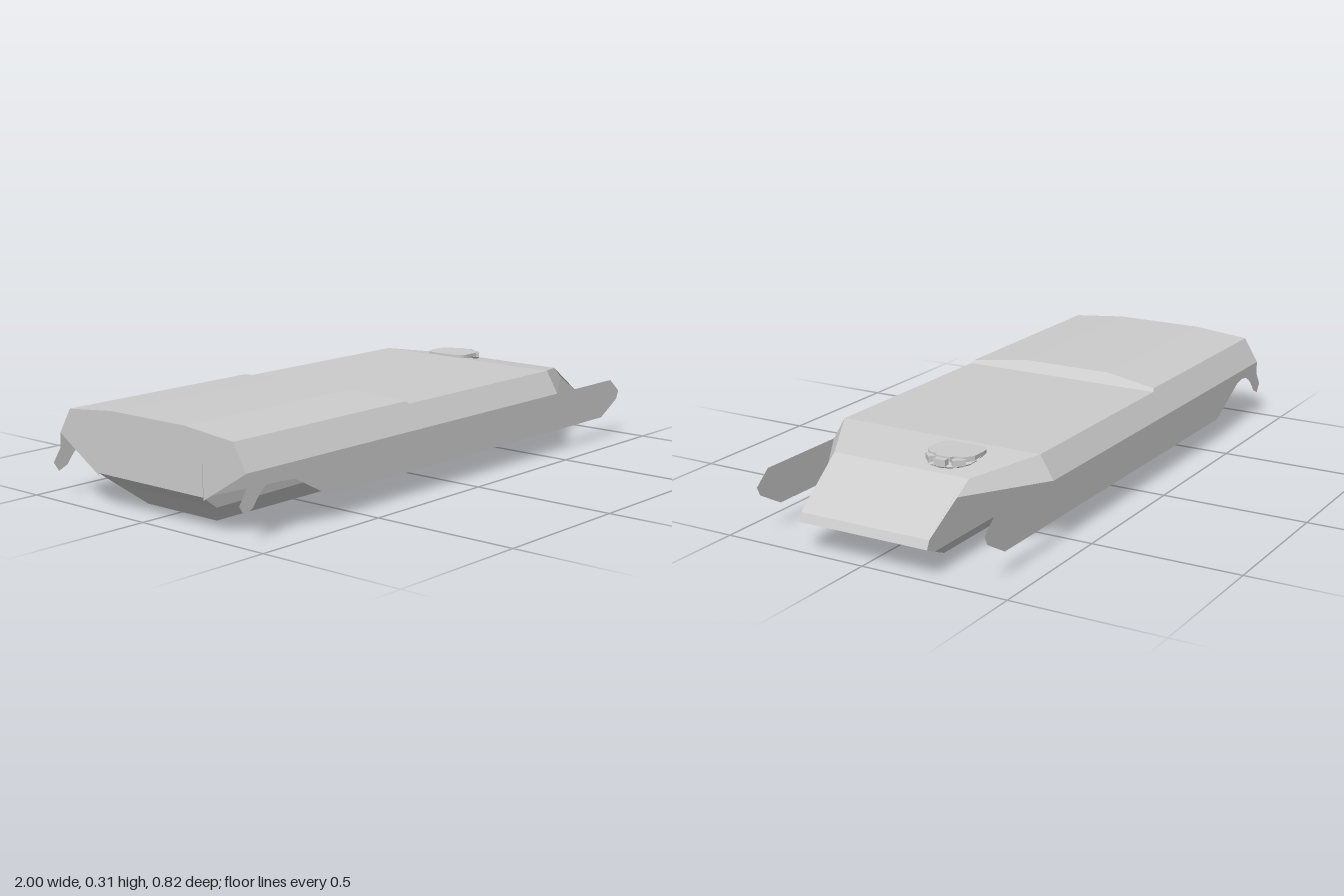
import * as THREE from 'three';

const material = new THREE.MeshStandardMaterial({ color: 0xcccccc, flatShading: true });
const thin = new THREE.MeshStandardMaterial({ color: 0xcccccc, flatShading: true, side: THREE.DoubleSide });

function add(parent, name, geometry, mat = material) {
  const mesh = new THREE.Mesh(geometry, mat);
  mesh.name = name;
  parent.add(mesh);
  return mesh;
}

// Loft through mirrored half sections; each lists [x, y, z] from roof to belly
function loft(sections) {
  const mirror = ([x, y, z]) => [x, y, -z];
  const rings = sections.map((s) => [...s, ...s.map(mirror).reverse()]);
  const out = [];
  const tri = (a, b, c) => {
    const [p, q, r] = [a, b, c].map((v) => new THREE.Vector3(...v));
    if (q.sub(p).cross(r.sub(p)).length() > 1e-7) out.push(...a, ...b, ...c);
  };
  const quad = (a, b, c, d) => { tri(a, b, c); tri(a, c, d); };
  for (let s = 0; s + 1 < rings.length; s++) {
    const n = rings[s].length;
    for (let i = 0; i < n; i++) {
      const j = (i + 1) % n;
      quad(rings[s][i], rings[s][j], rings[s + 1][j], rings[s + 1][i]);
    }
  }
  // End walls, as strips across the width
  const rear = sections[0], nose = sections[sections.length - 1];
  for (let i = 0; i + 1 < rear.length; i++) {
    quad(nose[i], nose[i + 1], mirror(nose[i + 1]), mirror(nose[i]));
    quad(mirror(rear[i]), mirror(rear[i + 1]), rear[i + 1], rear[i]);
  }
  const g = new THREE.BufferGeometry();
  g.setAttribute('position', new THREE.Float32BufferAttribute(out, 3));
  g.computeVertexNormals();
  return g;
}

// Section with full sponsons: roof crown, roof edge, sponson edge, tub side, bevel, belly
function sponsonSection(xCrown, yCrown, xEdge, yEdge, zEdge) {
  return [
    [xCrown, yCrown, 0.16], [xEdge, yEdge, zEdge], [xEdge, 0.21, 0.408], [xEdge, 0.21, 0.23],
    [xEdge, 0.11, 0.23], [xEdge, 0.078, 0.23], [xEdge, 0, 0.152],
  ];
}

function hullGeometry() {
  const rear = sponsonSection(-0.97, 0.314, -0.97, 0.295, 0.357);
  rear[5] = [-0.91, 0.067, 0.225];
  rear[6] = [-0.84, 0, 0.152];
  return loft([
    rear,
    sponsonSection(-0.235, 0.314, -0.2, 0.295, 0.357),
    sponsonSection(-0.187, 0.286, -0.187, 0.286, 0.362),
    sponsonSection(0.575, 0.286, 0.575, 0.286, 0.362),
    // Shoulders narrowed to the tub width
    [[0.79, 0.253, 0.16], [0.79, 0.253, 0.245], [0.855, 0.21, 0.23], [0.855, 0.21, 0.23],
      [0.855, 0.11, 0.23], [0.855, 0.078, 0.23], [0.79, 0, 0.152]],
    // Nose
    [[0.985, 0.122, 0.15], [0.985, 0.122, 0.23], [0.985, 0.122, 0.23], [0.985, 0.122, 0.23],
      [0.997, 0.095, 0.23], [0.957, 0.077, 0.23], [0.79, 0, 0.152]],
  ]);
}

// Thin side skirt with an arch at the rear and a hooked tail
function skirtGeometry() {
  const s = new THREE.Shape();
  s.moveTo(-0.97, 0.21);
  s.lineTo(-0.97, 0.165);
  s.lineTo(-1, 0.12);
  s.lineTo(-0.98, 0.09);
  s.lineTo(-0.945, 0.105);
  s.bezierCurveTo(-0.9, 0.17, -0.86, 0.19, -0.79, 0.17);
  s.lineTo(-0.62, 0.08);
  s.lineTo(0.86, 0.08);
  s.lineTo(0.957, 0.134);
  s.lineTo(0.97, 0.163);
  s.lineTo(0.914, 0.21);
  return new THREE.ShapeGeometry(s, 8);
}

// Triangular plate closing the rear corner between tub and sponson
function gussetGeometry() {
  const s = new THREE.Shape();
  s.moveTo(0.23, 0.21);
  s.lineTo(0.408, 0.21);
  s.lineTo(0.23, 0.1);
  return new THREE.ShapeGeometry(s).rotateY(-Math.PI / 2).translate(-0.968, 0, 0);
}

function createHatch() {
  const hatch = new THREE.Group();
  hatch.name = 'driverHatch';
  hatch.position.set(0.685, 0.268, -0.122);

  // Sloped ring seated on the roof
  const ring = add(hatch, 'hatchRing', new THREE.CylinderGeometry(0.082, 0.07, 0.014, 16));
  ring.scale.z = 1.08;
  ring.rotation.z = -0.15;

  // Level lid with a notched front edge
  const s = new THREE.Shape();
  s.moveTo(-0.082, -0.05);
  s.quadraticCurveTo(-0.08, -0.08, -0.045, -0.083);
  s.lineTo(0.01, -0.083);
  s.lineTo(0.04, -0.06);
  s.lineTo(0.045, -0.03);
  s.lineTo(0.058, -0.025);
  s.lineTo(0.058, 0.025);
  s.lineTo(0.045, 0.03);
  s.lineTo(0.04, 0.06);
  s.lineTo(0.01, 0.083);
  s.lineTo(-0.045, 0.083);
  s.quadraticCurveTo(-0.08, 0.08, -0.082, 0.05);
  const lid = new THREE.ExtrudeGeometry(s, { depth: 0.016, bevelEnabled: false, curveSegments: 4 });
  add(hatch, 'hatchLid', lid.rotateX(-Math.PI / 2).translate(0, 0.005, 0));

  // Vision blocks around the front of the lid
  for (const side of [-1, 0, 1]) {
    const block = add(hatch, 'visionBlock', new THREE.BoxGeometry(0.02, 0.022, 0.04));
    const angle = side * 0.75;
    block.position.set(0.068 * Math.cos(angle), 0.005, 0.075 * Math.sin(angle));
    block.rotation.y = -angle;
  }
  return hatch;
}

export function createModel() {
  const model = new THREE.Group();
  model.name = 'armouredHull';
  add(model, 'hull', hullGeometry());
  for (const side of [1, -1]) {
    add(model, 'sideSkirt', skirtGeometry(), thin).position.z = side * 0.408;
    add(model, 'rearGusset', gussetGeometry(), thin).scale.z = side;
  }
  model.add(createHatch());
  return model;
}
